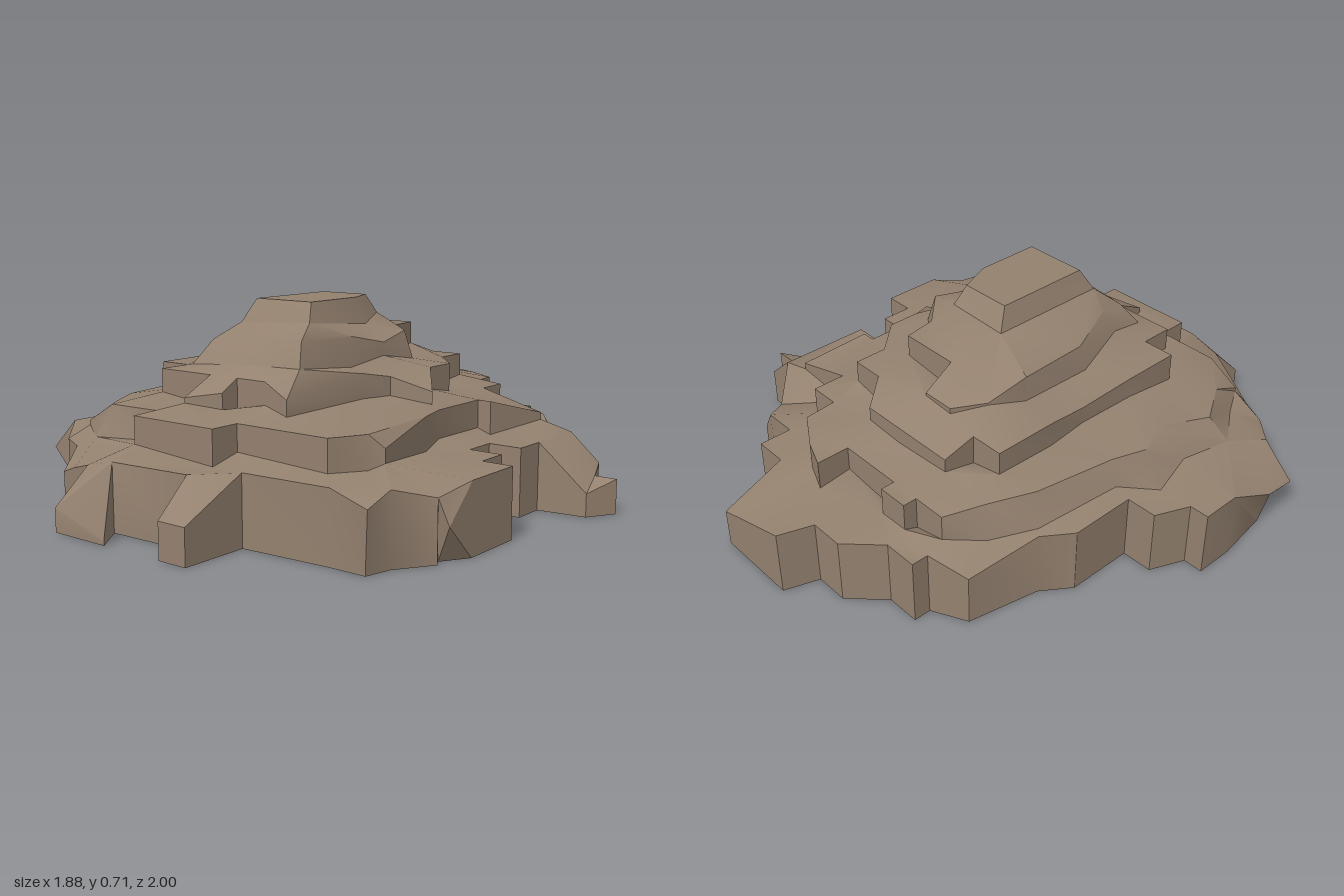
import * as THREE from 'three';
import { toCreasedNormals } from 'three/addons/utils/BufferGeometryUtils.js';

// Each tier is an outline of [x, z, lip height, foot spread], clockwise from the back.
// The last two are optional; a spread above 1 slopes the wall, below 1 undercuts it.
const base = [
  [-0.08, -1], [0.23, -1, 0.14], [0.23, -0.77], [0.35, -0.77], [0.35, -0.65], [0.47, -0.65], [0.56, -0.62, 0.12],
  [0.59, -0.53, 0.16], [0.71, -0.41], [0.82, -0.41, 0.14], [0.86, -0.3, 0.12], [0.94, -0.3, 0.12], [0.88, -0.2, 0.08],
  [0.71, -0.18], [0.71, -0.06], [0.59, -0.06], [0.59, 0.06], [0.71, 0.06], [0.71, 0.18], [0.82, 0.18],
  [0.82, 0.41], [0.82, 0.53, 0.12, 0.93], [0.78, 0.53, 0.2], [0.7, 0.65], [0.7, 0.76, 0.2, 0.97], [0.55, 0.74],
  [0.23, 0.76], [0.23, 1, 0.12], [0.12, 1, 0.12], [0.12, 0.88], [-0.2, 0.89, 0.23], [-0.12, 1, 0.02],
  [-0.35, 1, 0.08], [-0.33, 0.88, 0.2], [-0.47, 0.82, 0.16], [-0.59, 0.77, 0.12], [-0.59, 0.71, 0.2],
  [-0.71, 0.65, 0.2], [-0.82, 0.53], [-0.94, 0.53, 0.12, 0.91], [-0.94, 0.41, 0.13, 0.97], [-0.94, 0.2],
  [-0.94, 0.06], [-0.87, 0.06], [-0.82, -0.06], [-0.71, -0.06], [-0.71, -0.3], [-0.64, -0.4],
  [-0.59, -0.65, 0.18], [-0.47, -0.71], [-0.47, -0.77], [-0.35, -0.77], [-0.24, -0.88], [-0.12, -0.88],
];
const lowerLedge = [
  [0, -0.77], [0.1, -0.73], [0.23, -0.65], [0.24, -0.53], [0.35, -0.53], [0.35, -0.41], [0.59, -0.41, 0.29],
  [0.52, -0.18], [0.47, -0.18], [0.47, 0.06], [0.5, 0.18], [0.57, 0.5, 0.31], [0.53, 0.53], [0.47, 0.65],
  [0.11, 0.65], [0.11, 0.76], [-0.24, 0.76], [-0.24, 0.65], [-0.47, 0.65, 0.35, 1.08], [-0.59, 0.65, 0.28],
  [-0.59, 0.53, 0.33, 1.08], [-0.68, 0.38, 0.33, 1.1], [-0.62, 0.2, 0.353, 1.15], [-0.67, 0.06, 0.353, 1.12],
  [-0.63, -0.06, 0.353, 1.05], [-0.58, -0.35, 0.353, 1.07], [-0.52, -0.5, 0.353, 1.06], [-0.47, -0.65],
  [-0.35, -0.65], [-0.35, -0.7], [-0.24, -0.7], [-0.24, -0.65], [0, -0.65],
];
const middleLedge = [
  [-0.12, -0.53, 0.44], [0.03, -0.53, 0.44], [0.12, -0.42], [0.24, -0.42], [0.24, -0.3], [0.35, -0.18],
  [0.35, -0.06], [0.44, 0.06, 0.41], [0.29, 0.09, 0.45], [0.26, 0.2], [0.21, 0.53, 0.42], [0.12, 0.53],
  [0, 0.53], [0, 0.6, 0.43], [-0.12, 0.65, 0.41], [-0.12, 0.53], [-0.35, 0.53], [-0.35, 0.41], [-0.47, 0.41],
  [-0.47, 0.2], [-0.44, 0, 0.43], [-0.47, -0.18], [-0.47, -0.41], [-0.35, -0.41], [-0.35, -0.53, 0.44],
];
const upperLedge = [
  [-0.24, -0.41, 0.52], [-0.12, -0.41, 0.52], [-0.12, -0.3], [0.1, -0.3], [0.12, -0.18], [0.24, -0.06, 0.59, 1.1],
  [0.24, 0.06, 0.56], [0.21, 0.2], [0.17, 0.41, 0.59, 1.1], [0, 0.41, 0.59, 1.2], [-0.22, 0.41, 0.57, 1.2],
  [-0.24, 0.3, 0.59, 1.15], [-0.32, 0.1, 0.57, 1.1], [-0.35, -0.18], [-0.3, -0.3, 0.52],
];
const summit = [[-0.12, -0.06], [0.07, -0.06], [0.12, 0.06], [0.12, 0.3], [-0.12, 0.3]];

const tiers = [
  { name: 'rockBase', outline: base, foot: 0, lip: 0.235, flare: 1 },
  { name: 'lowerLedge', outline: lowerLedge, foot: 0.25, lip: 0.353, flare: 1 },
  { name: 'middleLedge', outline: middleLedge, foot: 0.38, lip: 0.47, flare: 1 },
  { name: 'upperLedge', outline: upperLedge, foot: 0.5, lip: 0.59, flare: 1 },
  { name: 'summit', outline: summit, foot: 0.63, lip: 0.706, flare: 1.25 },
];

// Bottom ring of a tier, slightly uneven above the ground
const footRing = ({ outline, foot, flare }) => outline.map(([x, z, , spread = flare], i) =>
  new THREE.Vector3(x * spread, foot && foot + 0.015 * Math.sin(i * 2.4), 0.12 + (z - 0.12) * spread));

// Top ring of a tier
const lipRing = ({ outline, lip }) => outline.map(([x, z, y = lip]) => new THREE.Vector3(x, y, z));

const area = (a, b, c) => (b.x - a.x) * (c.y - a.y) - (b.y - a.y) * (c.x - a.x);
const angle = (p, a, b) => a.clone().sub(p).angleTo(b.clone().sub(p));

// Swap diagonals between neighbouring triangles until none is needlessly thin
function evenOut(points, faces) {
  for (let pass = 0, changed = true; changed && pass < 60; pass++) {
    changed = false;
    for (const f of faces) {
      for (let k = 0; k < 3; k++) {
        const a = f[k], b = f[(k + 1) % 3], c = f[(k + 2) % 3];
        const g = faces.find((h) => h.some((v, m) => v === b && h[(m + 1) % 3] === a));
        if (!g) continue;
        const d = g.find((v) => v !== a && v !== b);
        const [A, B, C, D] = [a, b, c, d].map((v) => points[v]);
        const convex = area(C, A, D) > 1e-6 && area(D, B, C) > 1e-6;
        if (!convex || angle(C, A, B) + angle(D, A, B) < Math.PI + 1e-4) continue;
        f.splice(0, 3, c, a, d);
        g.splice(0, 3, d, b, c);
        changed = true;
        break;
      }
    }
  }
}

// Fill between a ring and an optional inner ring, facing up or down
function addCap(tris, outer, inner, facesUp) {
  const points = [...outer, ...inner];
  // A tiny offset keeps points in a straight row from being dropped
  const flat = points.map((p, i) => new THREE.Vector2(p.x + 0.001 * Math.sin(i * 7), -p.z + 0.001 * Math.cos(i * 5)));
  const holes = inner.length ? [flat.slice(outer.length)] : [];
  const faces = THREE.ShapeUtils.triangulateShape(flat.slice(0, outer.length), holes)
    .map(([i, j, k]) => (area(flat[i], flat[j], flat[k]) > 0 ? [i, j, k] : [i, k, j]));
  evenOut(flat, faces);
  for (const [i, j, k] of faces) {
    tris.push(points[i], points[facesUp ? j : k], points[facesUp ? k : j]);
  }
}

export function createModel() {
  const group = new THREE.Group();
  group.name = 'rockMound';
  const stone = new THREE.MeshStandardMaterial({ color: 0x94816f });
  stone.name = 'brownStone';

  tiers.forEach((tier, t) => {
    const tris = [];
    const foot = footRing(tier);
    const lip = lipRing(tier);
    // Cliff wall
    foot.forEach((a, i) => {
      const j = (i + 1) % foot.length;
      tris.push(a, lip[i], lip[j], a, lip[j], foot[j]);
    });
    // Sloping ledge up to the next tier
    addCap(tris, lip, tiers[t + 1] ? footRing(tiers[t + 1]) : [], true);
    // Flat underside
    if (t === 0) addCap(tris, foot, [], false);

    const geometry = new THREE.BufferGeometry().setFromPoints(tris);
    const mesh = new THREE.Mesh(toCreasedNormals(geometry, 0.6), stone);
    mesh.name = tier.name;
    group.add(mesh);
  });
  return group;
}
